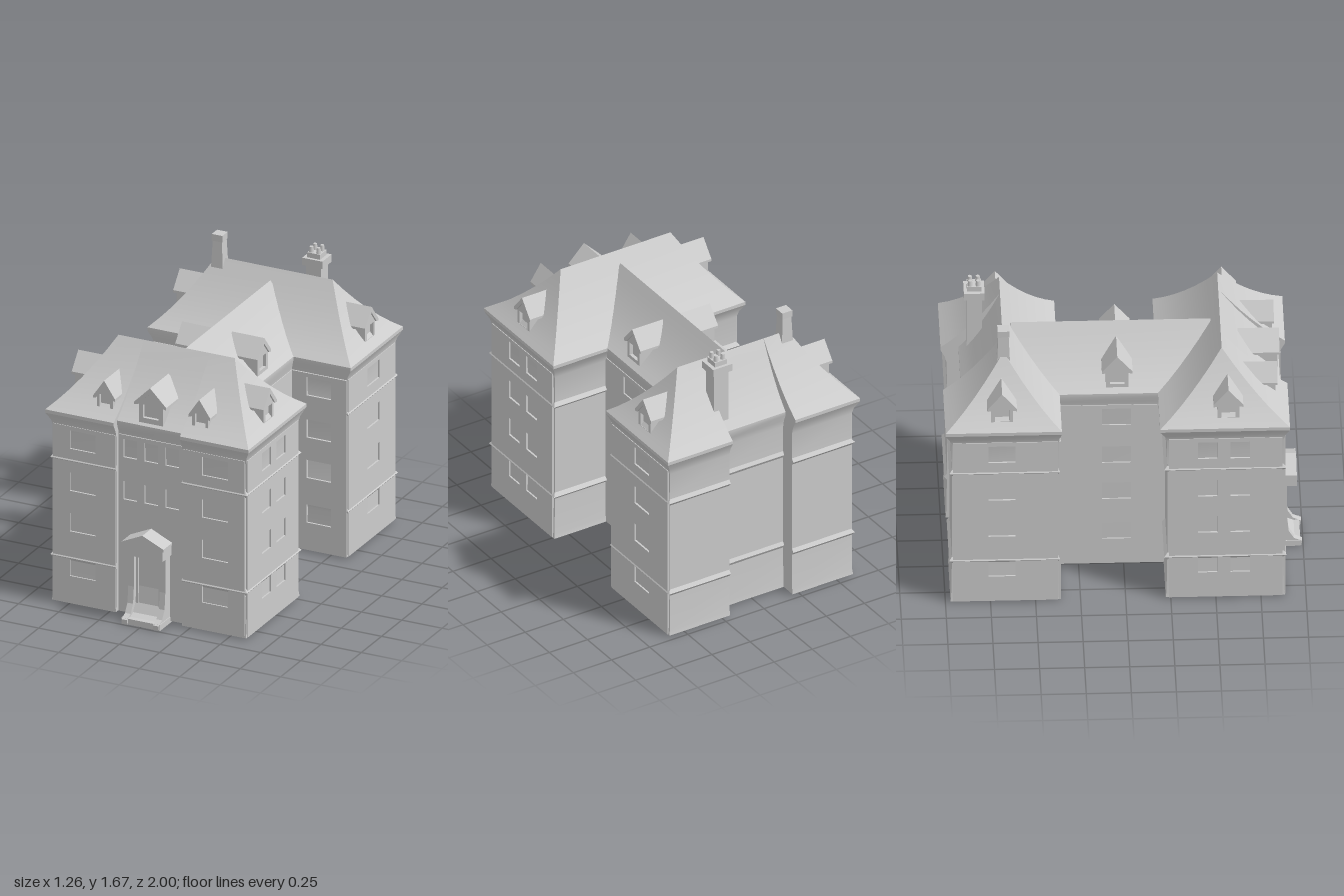
import * as THREE from 'three';
import { toCreasedNormals } from 'three/addons/utils/BufferGeometryUtils.js';

const mat = new THREE.MeshStandardMaterial({ color: 0xcccccc });
const STOREYS = [0.23, 0.5, 0.745, 1.0];
const lerp = THREE.MathUtils.lerp;

function add(parent, name, geo, x = 0, y = 0, z = 0, ry = 0) {
  const m = new THREE.Mesh(geo, mat);
  m.name = name;
  m.position.set(x, y, z);
  m.rotation.y = ry;
  parent.add(m);
  return m;
}
const box = (w, h, d) => new THREE.BoxGeometry(w, h, d);
const poly = (pts) => new THREE.Shape(pts.map((p) => new THREE.Vector2(...p)));
const extrude = (shape, depth) => new THREE.ExtrudeGeometry(shape, { depth, bevelEnabled: false });
const rect = (cx, cy, w, h) => [[cx - w / 2, cy - h / 2], [cx + w / 2, cy - h / 2], [cx + w / 2, cy + h / 2], [cx - w / 2, cy + h / 2]];
// Gently flared roof slope: t = 0 at the eaves, 1 at the ridge
const slope = (t, ridge) => 1.165 + (ridge - 1.165) * (0.65 * t + 0.35 * t * t);

// Wing with a hipped roof and a recessed centre on its outer (+z) side
function wingBody(wall, eave, ridgeZ) {
  const rows = [[0.01, 0, 1], [0.01, 0.3, 0], [0.04, 0.2, 0]]; // height, flare, inset
  for (const y of [0.285, 0.875]) rows.push([y - 0.02, 0.1, 0], [y, 0.5, 0], [y + 0.02, 0.1, 0]);
  rows.push([1.06, 0.15, 0], [1.1, 0.4, 0], [1.145, 1, 0], [1.165, 1, 0]);
  for (let i = 1; i <= 6; i++) rows.push([slope(i / 6, 1.525), 1, i / 6]);
  const ring = ([y, f, t]) => {
    const X = lerp(lerp(0.59, 0.63, f), 0.36, t);
    const [zo, zn, zi] = [0, 1, 2].map((k) => lerp(lerp(wall[k], eave[k], f), ridgeZ, t));
    const n = 0.205;
    return [[X, zo], [X, zi], [-X, zi], [-X, zo], [-n, zo], [-n, zn], [n, zn], [n, zo]].map(([x, z]) => [x, y, z]);
  };
  const pos = [];
  const rings = rows.map(ring);
  for (let i = 0; i + 1 < rings.length; i++) {
    const [a, b] = [rings[i], rings[i + 1]];
    for (let j = 0; j < 8; j++) {
      const k = (j + 1) % 8;
      pos.push(...a[j], ...a[k], ...b[k], ...a[j], ...b[k], ...b[j]);
    }
  }
  const g = new THREE.BufferGeometry();
  g.setAttribute('position', new THREE.Float32BufferAttribute(pos, 3));
  return toCreasedNormals(g, 0.45);
}

// Thin wall skin with window openings, outer face looking along +z before rotation
function facade(parent, width, windows, x, z, ry) {
  const s = poly(rect(0, 0.545, width, 1.07));
  for (const [cx, cy, w, h] of windows) s.holes.push(poly(rect(cx, cy, w, h)));
  add(parent, 'windowWall', extrude(s, 0.013), x, 0, z, ry);
}
const columns = (xs, w, h = 0.11, rows = STOREYS) => rows.flatMap((y) => xs.map((x) => [x, y, w, h]));

// Gabled dormer; its face is at z = 0 and its body runs back along -z
function dormer(parent, w, apex, depth, x, z, ry) {
  const g = new THREE.Group();
  g.name = 'dormer';
  const a = w * 0.37, e = apex - 0.1, o = w / 2;
  const face = poly([[-a, 1.18], [a, 1.18], [a, e], [0, apex - 0.02], [-a, e]]);
  face.holes.push(poly(rect(0, 1.25, a * 1.3, 0.08)));
  add(g, 'dormerFace', extrude(face, 0.02), 0, 0, -0.02);
  add(g, 'dormerBody', box(2 * a, 0.12, depth), 0, 1.24, -0.02 - depth / 2);
  const roof = poly([[-o, e - 0.015], [-a, e - 0.01], [0, apex - 0.035], [a, e - 0.01], [o, e - 0.015], [o, e], [0, apex], [-o, e]]);
  add(g, 'dormerRoof', extrude(roof, depth + 0.03), 0, 0, -0.02 - depth);
  g.position.set(x, 0, z);
  g.rotation.y = ry;
  parent.add(g);
}

function addPortico(parent) {
  const g = new THREE.Group();
  g.name = 'portico';
  parent.add(g);
  // Posts with a foot sweeping forward
  const side = poly([[0.83, 0], [0.99, 0], [0.995, 0.03], [0.95, 0.05], [0.92, 0.1], [0.91, 0.2], [0.91, 0.42], [0.83, 0.42]]);
  for (const s of [-1, 1]) add(g, 'post', extrude(side, 0.035), s * 0.0975 + 0.0175, 0, 0, -Math.PI / 2).scale.z = 1;
  add(g, 'doorSurround', extrude(side, 0.2), 0.1, 0, -0.03, -Math.PI / 2);
  const frame = poly(rect(0, 0.24, 0.15, 0.33));
  frame.holes.push(poly(rect(0, 0.235, 0.125, 0.29)));
  add(g, 'doorFrame', extrude(frame, 0.012), 0, 0, 0.88);
  add(g, 'doorstep', box(0.24, 0.035, 0.15), 0, 0.0175, 0.91);
  add(g, 'entablature', box(0.25, 0.07, 0.13), 0, 0.445, 0.9);
  add(g, 'pediment', extrude(poly([[-0.13, 0.47], [0.13, 0.47], [0.13, 0.485], [0, 0.545], [-0.13, 0.485]]), 0.13), 0, 0, 0.835);
}

function addChimneys(parent) {
  const slim = new THREE.CylinderGeometry(0.04, 0.058, 0.3, 4, 1).rotateY(Math.PI / 4);
  add(parent, 'slimChimney', toCreasedNormals(slim, 0.5), -0.34, 1.495, -0.67);
  add(parent, 'slimChimneyCap', box(0.066, 0.04, 0.066), -0.34, 1.65, -0.67);
  add(parent, 'wideChimney', box(0.095, 0.36, 0.085), 0.19, 1.37, -0.815);
  add(parent, 'wideChimneyCap', box(0.125, 0.045, 0.115), 0.19, 1.555, -0.815);
  add(parent, 'wideChimneyTop', box(0.08, 0.035, 0.08), 0.19, 1.59, -0.815);
  for (const sx of [-1, 1]) for (const sz of [-1, 1]) {
    add(parent, 'chimneyPot', new THREE.CylinderGeometry(0.011, 0.016, 0.045, 8), 0.19 + sx * 0.022, 1.618, -0.815 + sz * 0.022);
  }
}

export function createModel() {
  const root = new THREE.Group();
  root.name = 'mansion';
  const Q = Math.PI / 2;

  // Front and rear wings (the rear one is turned to face backwards)
  add(root, 'frontWing', wingBody([0.87, 0.84, 0.235], [0.91, 0.87, 0.19], 0.54));
  add(root, 'rearWing', wingBody([0.96, 0.87, 0.375], [1.0, 0.9, 0.355], 0.67), 0, 0, 0, Math.PI);

  // Connecting range with a gable roof running between the wings
  const half = [[0.255, 0.01], [0.255, 1.06], [0.262, 1.1], [0.275, 1.145]];
  for (let i = 0; i < 6; i++) half.push([0.275 * (1 - i / 6), slope(i / 6, 1.47)]);
  const profile = [...half, [0, 1.47], ...half.map(([x, y]) => [-x, y]).reverse()];
  add(root, 'connectingRange', toCreasedNormals(extrude(poly(profile), 1.11), 0.45), 0, 0, -0.62);

  // Window walls
  facade(root, 0.405, columns([-0.13, 0, 0.13], 0.085, 0.11, STOREYS.slice(2)), 0, 0.842, 0);
  for (const s of [-1, 1]) {
    facade(root, 0.385, columns([s * 0.01], 0.16), s * 0.4, 0.872, 0);
    facade(root, 0.34, columns([0], 0.15), s * 0.43, -0.373, 0);
    facade(root, 0.63, columns([-s * 0.08, s * 0.1], 0.11), s * 0.592, 0.555, s * Q);
    facade(root, 0.58, columns([s * 0.02], 0.15), s * 0.592, -0.667, s * Q);
    facade(root, 0.6, columns([-s * 0.03], 0.16), s * 0.25, -0.07, s * Q);
  }

  // Dormers
  dormer(root, 0.2, 1.4, 0.2, 0, 0.86, 0);
  for (const s of [-1, 1]) {
    dormer(root, 0.135, 1.38, 0.18, s * 0.295, 0.84, 0);
    dormer(root, 0.165, 1.4, 0.13, s * 0.585, 0.57, s * Q);
    dormer(root, 0.165, 1.4, 0.13, s * 0.585, -0.685, s * Q);
    dormer(root, 0.17, 1.4, 0.17, s * 0.245, -0.035, s * Q);
  }

  addPortico(root);
  addChimneys(root);
  return root;
}
